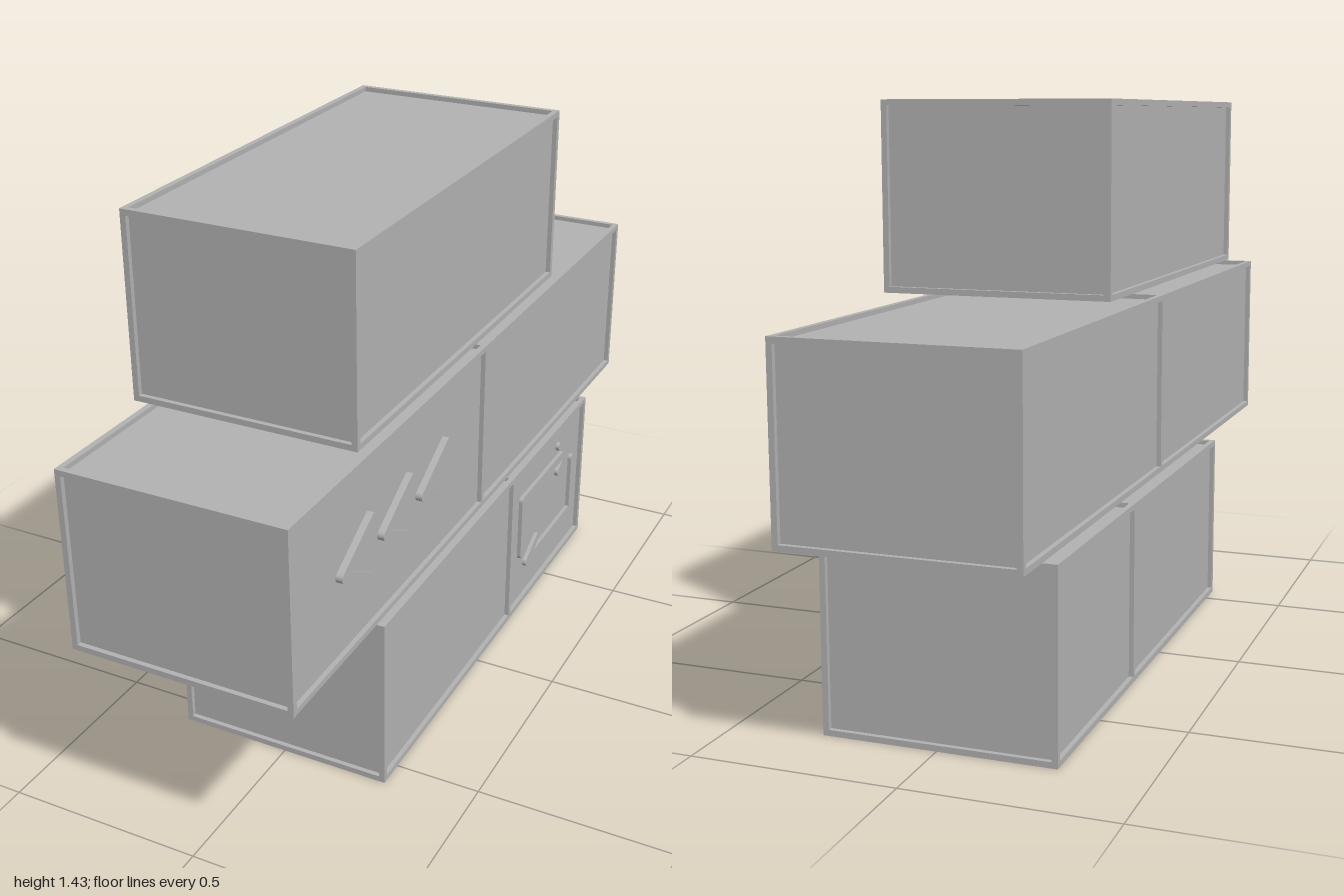
import * as THREE from 'three';

const BAR = 0.0145;      // frame bar thickness
const RECESS = 0.012;    // depth of the panels behind the frame
const X0 = -0.287, X1 = 0.281;
const WIDTH = X1 - X0, MID_X = (X0 + X1) / 2;

const steel = new THREE.MeshStandardMaterial({ color: 0xb2b2b2 });
steel.name = 'grey steel';

function addMesh(parent, name, geometry, x, y, z) {
  const mesh = new THREE.Mesh(geometry, steel);
  mesh.name = name;
  mesh.position.set(x, y, z);
  parent.add(mesh);
  return mesh;
}

// Rectangular ring in the xy plane, one bar deep, centred on its origin
function ringGeometry(w, h) {
  const rect = (target, a, b) => {
    target.moveTo(-a, -b);
    target.lineTo(a, -b);
    target.lineTo(a, b);
    target.lineTo(-a, b);
    target.closePath();
    return target;
  };
  const shape = rect(new THREE.Shape(), w / 2, h / 2);
  shape.holes.push(rect(new THREE.Path(), w / 2 - BAR, h / 2 - BAR));
  const geometry = new THREE.ExtrudeGeometry(shape, { depth: BAR, bevelEnabled: false });
  return geometry.translate(0, 0, -BAR / 2);
}

// Container: recessed panels in a frame, with optional divider rings
function container(name, y0, y1, z0, z1, dividers = []) {
  const group = new THREE.Group();
  group.name = name;
  const h = y1 - y0, len = z1 - z0;
  const cy = (y0 + y1) / 2, cz = (z0 + z1) / 2;

  addMesh(group, 'panels', new THREE.BoxGeometry(
    WIDTH - 2 * RECESS, h - 2 * RECESS, len - 2 * RECESS), MID_X, cy, cz);

  const ring = ringGeometry(WIDTH, h);
  addMesh(group, 'backFrame', ring, MID_X, cy, z0 + BAR / 2);
  addMesh(group, 'frontFrame', ring, MID_X, cy, z1 - BAR / 2);
  for (const z of dividers) addMesh(group, 'dividerFrame', ring, MID_X, cy, z);

  const rail = new THREE.BoxGeometry(BAR, BAR, len - 2 * BAR);
  for (const sx of [-1, 1]) {
    for (const sy of [-1, 1]) {
      addMesh(group, 'longRail', rail,
        MID_X + sx * (WIDTH - BAR) / 2, cy + sy * (h - BAR) / 2, cz);
    }
  }
  return group;
}

// Raised round-ended stroke on the +x side between two [z, y] points
function stroke(parent, name, a, b, radius, outerX) {
  const len = Math.hypot(b[0] - a[0], b[1] - a[1]);
  const shape = new THREE.Shape();
  shape.absarc(len / 2, 0, radius, -Math.PI / 2, Math.PI / 2, false);
  shape.absarc(-len / 2, 0, radius, Math.PI / 2, Math.PI * 1.5, false);
  shape.closePath();
  const depth = outerX - (X1 - RECESS) + 0.004;
  const geometry = new THREE.ExtrudeGeometry(shape, { depth, bevelEnabled: false, curveSegments: 10 });
  geometry.rotateZ(Math.atan2(b[1] - a[1], a[0] - b[0]));
  geometry.rotateY(Math.PI / 2);
  addMesh(parent, name, geometry, outerX - depth, (a[1] + b[1]) / 2, (a[0] + b[0]) / 2);
}

function strokes(parent, name, points, radius, outerX) {
  for (let i = 1; i < points.length; i++) {
    stroke(parent, name, points[i - 1], points[i], radius, outerX);
  }
}

export function createModel() {
  const model = new THREE.Group();
  model.name = 'stackedContainers';

  const bottom = container('bottomContainer', 0, 0.458, -0.796, 0.573, [-0.229]);
  const middle = container('middleContainer', 0.488, 0.946, -1, 1, [0]);
  const top = container('topContainer', 0.977, 1.432, -0.44, 0.7);
  model.add(bottom, middle, top);

  // Three chevrons pointing to the front
  for (let i = 0; i < 3; i++) {
    const z = -0.2 * i;
    strokes(middle, 'chevron',
      [[0.634 + z, 0.784], [0.772 + z, 0.706], [0.634 + z, 0.628]], 0.013, 0.286);
  }

  // Pair of bent arrows circling each other
  const r = 0.0125, face = X1 - 0.001;
  strokes(bottom, 'upperArrowShaft', [[-0.313, 0.168], [-0.313, 0.342], [-0.67, 0.342]], r, face);
  strokes(bottom, 'upperArrowHead', [[-0.593, 0.384], [-0.672, 0.342], [-0.593, 0.3]], r, face);
  strokes(bottom, 'lowerArrowShaft', [[-0.709, 0.292], [-0.709, 0.118], [-0.36, 0.118]], r, face);
  strokes(bottom, 'lowerArrowHead', [[-0.436, 0.16], [-0.358, 0.118], [-0.436, 0.076]], r, face);

  return model;
}
